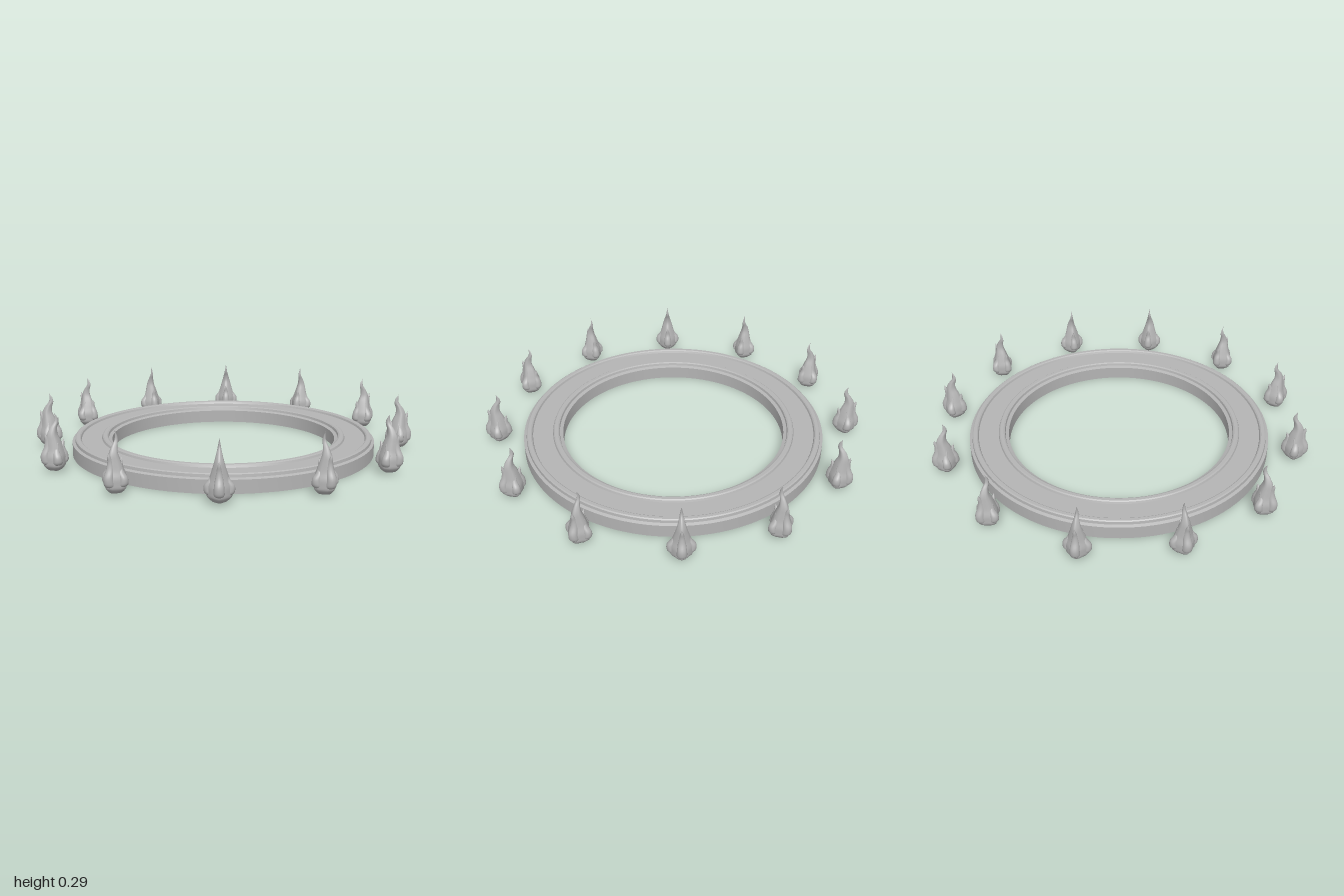
import * as THREE from 'three';
import { toCreasedNormals } from 'three/addons/utils/BufferGeometryUtils.js';

const FLAMES = 12;
const FLAME_RADIUS = 0.925;
const SIDES = 16;

// Closed skin through sections [x, y, z, half width x, half width z];
// lobe pinches the outline into four ridges.
function loft(sections, lobe = 0) {
  const curve = (pick) => new THREE.CatmullRomCurve3(sections.map(pick));
  const centres = curve((s) => new THREE.Vector3(s[0], s[1], s[2]));
  const widths = curve((s) => new THREE.Vector3(s[3], s[4], 0));
  const steps = (sections.length - 1) * 4;
  const positions = [];
  const index = [];
  for (let i = 0; i <= steps; i++) {
    const c = centres.getPoint(i / steps);
    const w = widths.getPoint(i / steps);
    for (let j = 0; j < SIDES; j++) {
      const a = (j / SIDES) * Math.PI * 2;
      const k = 1 + lobe * (Math.cos(4 * a) - 1) * 0.5;
      positions.push(
        c.x + Math.cos(a) * Math.max(w.x, 0.0004) * k,
        c.y,
        c.z + Math.sin(a) * Math.max(w.y, 0.0004) * k
      );
      if (i < steps) {
        const n = (j + 1) % SIDES;
        const p = i * SIDES + j, q = i * SIDES + n;
        index.push(p, p + SIDES, q, q, p + SIDES, q + SIDES);
      }
    }
  }
  const geometry = new THREE.BufferGeometry();
  geometry.setAttribute('position', new THREE.Float32BufferAttribute(positions, 3));
  geometry.setIndex(index);
  geometry.computeVertexNormals();
  return geometry;
}

export function createModel() {
  const stone = new THREE.MeshStandardMaterial({ color: 0xb4b4b4 });
  stone.name = 'grey stone';
  const group = new THREE.Group();
  group.name = 'flameRing';

  // Flat ring with a stepped rim on each edge and a sunken band between
  const profile = [
    [0.585, 0], [0.79, 0], [0.79, 0.066], [0.776, 0.072], [0.774, 0.086],
    [0.768, 0.09], [0.752, 0.09], [0.746, 0.086], [0.742, 0.076],
    [0.638, 0.076], [0.634, 0.086], [0.628, 0.09], [0.612, 0.09],
    [0.605, 0.086], [0.602, 0.074], [0.585, 0.068], [0.585, 0],
  ].map(([r, y]) => new THREE.Vector2(r, y));
  const ring = new THREE.Mesh(toCreasedNormals(new THREE.LatheGeometry(profile, 128), 0.5), stone);
  ring.name = 'ring';
  group.add(ring);

  // Flame parts, with +x pointing away from the ring centre
  const body = loft([
    [0, 0.005, 0, 0, 0],
    [0, 0.014, 0, 0.033, 0.033],
    [0, 0.04, 0, 0.056, 0.056],
    [0, 0.075, 0, 0.058, 0.056],
    [0, 0.115, 0, 0.047, 0.044],
    [0.004, 0.155, 0, 0.037, 0.032],
    [0.008, 0.19, 0, 0.026, 0.022],
    [0, 0.22, 0, 0.018, 0.014],
    [-0.014, 0.246, 0, 0.012, 0.008],
    [-0.014, 0.268, 0, 0.007, 0.004],
    [-0.006, 0.29, 0, 0, 0],
  ], 0.18);
  const outerTongue = loft([
    [0.03, 0.03, 0, 0, 0],
    [0.042, 0.055, 0, 0.024, 0.024],
    [0.046, 0.09, 0, 0.022, 0.022],
    [0.034, 0.125, 0, 0.018, 0.017],
    [0.032, 0.155, 0, 0.014, 0.012],
    [0.04, 0.18, 0, 0.008, 0.007],
    [0.044, 0.2, 0, 0, 0],
  ]);
  const innerTongue = loft([
    [-0.03, 0.03, 0, 0, 0],
    [-0.045, 0.055, 0, 0.022, 0.022],
    [-0.044, 0.09, 0, 0.02, 0.02],
    [-0.036, 0.12, 0, 0.015, 0.014],
    [-0.042, 0.143, 0, 0.008, 0.007],
    [-0.048, 0.16, 0, 0, 0],
  ]);
  const sideTongue = (s) => loft([
    [0, 0.03, s * 0.03, 0, 0],
    [0, 0.055, s * 0.046, 0.022, 0.02],
    [0.002, 0.085, s * 0.048, 0.019, 0.018],
    [0.002, 0.11, s * 0.036, 0.014, 0.012],
    [-0.004, 0.135, s * 0.03, 0.007, 0.006],
    [-0.008, 0.15, s * 0.03, 0, 0],
  ]);
  const parts = [
    ['flameBody', body],
    ['outerTongue', outerTongue],
    ['innerTongue', innerTongue],
    ['leftTongue', sideTongue(1)],
    ['rightTongue', sideTongue(-1)],
  ];

  // Flames evenly spaced around the ring
  for (let i = 0; i < FLAMES; i++) {
    const flame = new THREE.Group();
    flame.name = 'flame';
    const angle = (i / FLAMES) * Math.PI * 2;
    flame.position.set(Math.cos(angle) * FLAME_RADIUS, 0, -Math.sin(angle) * FLAME_RADIUS);
    flame.rotation.y = angle;
    for (const [name, geometry] of parts) {
      const mesh = new THREE.Mesh(geometry, stone);
      mesh.name = name;
      flame.add(mesh);
    }
    group.add(flame);
  }
  return group;
}
